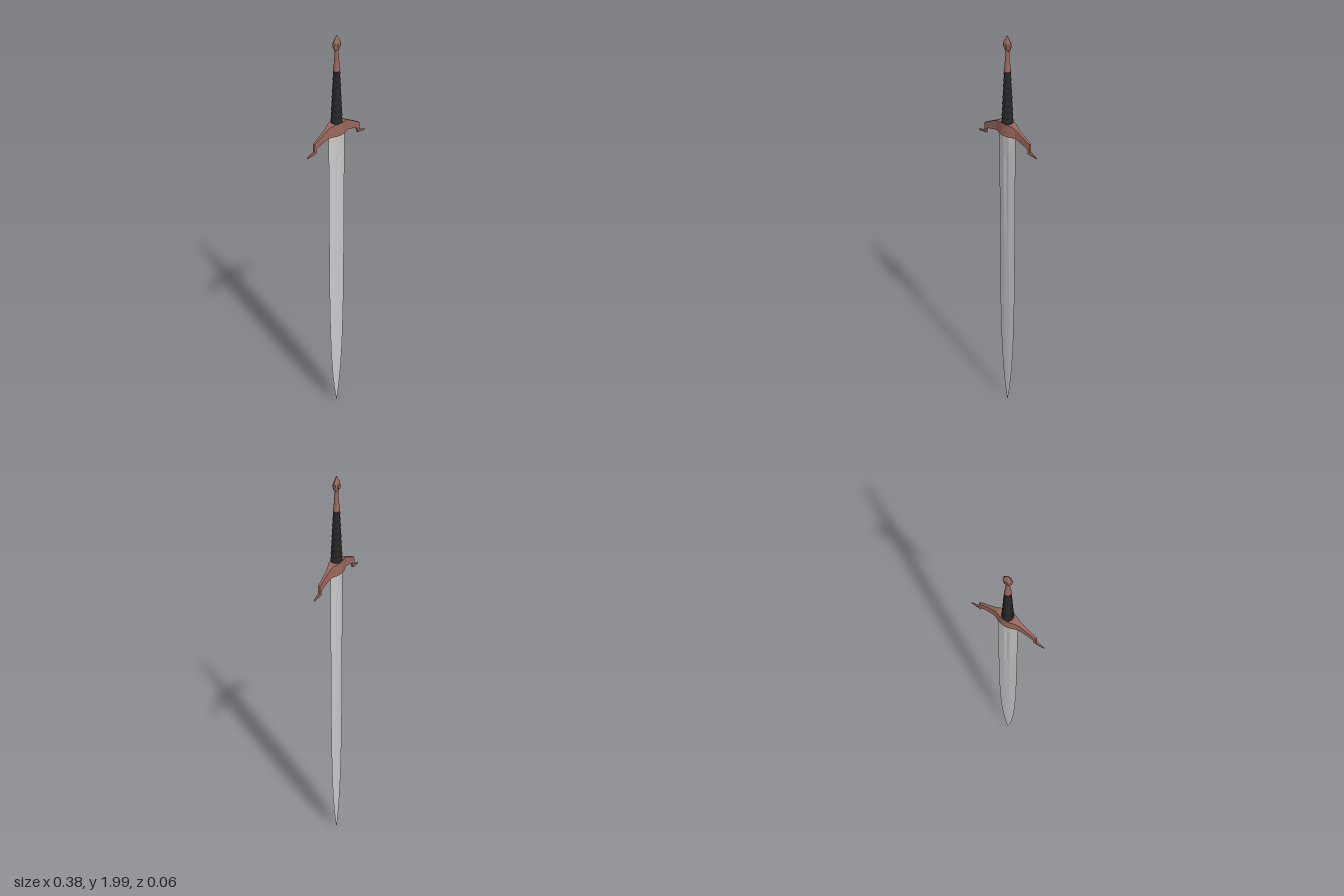
import * as THREE from 'three';

const steel = new THREE.MeshStandardMaterial({ color: 0xcccccc, flatShading: true });
const copper = new THREE.MeshStandardMaterial({ color: 0x9a675c, flatShading: true });
const copperSmooth = new THREE.MeshStandardMaterial({ color: 0x9a675c });
const leather = new THREE.MeshStandardMaterial({ color: 0x262626 });

// Skin a list of equal-length rings (counter-clockwise seen from the far end), with end caps
function loft(rings) {
  const n = rings[0].length, index = [];
  for (let r = 0; r < rings.length - 1; r++) {
    for (let i = 0; i < n; i++) {
      const a = r * n + i, b = r * n + (i + 1) % n;
      index.push(a, b, b + n, a, b + n, a + n);
    }
  }
  const last = (rings.length - 1) * n;
  for (let i = 1; i < n - 1; i++) {
    index.push(0, i + 1, i, last, last + i, last + i + 1);
  }
  const geometry = new THREE.BufferGeometry();
  geometry.setAttribute('position', new THREE.Float32BufferAttribute(rings.flat(2), 3));
  geometry.setIndex(index);
  geometry.computeVertexNormals();
  return geometry;
}

function lathe(points, segments) {
  return new THREE.LatheGeometry(points.map(([r, y]) => new THREE.Vector2(r, y)), segments);
}

export function createModel() {
  const model = new THREE.Group();
  const add = (name, geometry, material, parent = model) => {
    const mesh = new THREE.Mesh(geometry, material);
    mesh.name = name;
    parent.add(mesh);
    return mesh;
  };

  // Blade: height, half width, half thickness, thickness in the fuller
  const bladeSections = [
    [0.01, 0.0005, 0.0005, 0.0005], [0.05, 0.009, 0.001, 0.001], [0.1, 0.017, 0.0015, 0.0015],
    [0.2, 0.029, 0.002, 0.002], [0.3, 0.037, 0.0025, 0.0025], [0.42, 0.043, 0.003, 0.003],
    [0.6, 0.048, 0.004, 0.004], [0.8, 0.05, 0.005, 0.005], [1.04, 0.051, 0.0065, 0.006],
    [1.08, 0.051, 0.0065, 0.0045], [1.4, 0.052, 0.008, 0.005], [1.44, 0.052, 0.0085, 0.008],
    [1.56, 0.053, 0.01, 0.009],
  ];
  add('blade', loft(bladeSections.map(([y, w, t, f]) => [
    [w, y, 0], [0.3 * w, y, -t], [0, y, -f], [-0.3 * w, y, -t],
    [-w, y, 0], [-0.3 * w, y, t], [0, y, f], [0.3 * w, y, t],
  ])), steel);

  // Crossguard: x, top, bottom, half depth of one arm, mirrored to the other side
  const arm = [
    [0, 1.588, 1.532, 0.029], [0.018, 1.588, 1.532, 0.027], [0.034, 1.587, 1.532, 0.022],
    [0.048, 1.585, 1.533, 0.016], [0.062, 1.578, 1.531, 0.0115], [0.08, 1.568, 1.526, 0.009],
    [0.11, 1.553, 1.518, 0.0075], [0.134, 1.54, 1.508, 0.006], [0.136, 1.539, 1.486, 0.006],
    [0.146, 1.534, 1.484, 0.0055], [0.148, 1.495, 1.483, 0.0053], [0.188, 1.483, 1.478, 0.002],
  ];
  const mirrored = arm.slice(1).reverse().map(([x, ...rest]) => [-x, ...rest]);
  add('crossguard', loft([...mirrored, ...arm].map(([x, top, bottom, d]) => [
    [x, top, -0.88 * d], [x, top, 0.88 * d], [x, bottom, d], [x, bottom, -d],
  ])), copper);

  // Grip: tapered core with rounded windings
  const grip = [[0, 1.58]];
  const ribs = 9, steps = 6;
  for (let i = 0; i <= ribs * steps; i++) {
    const t = i / (ribs * steps);
    const bulge = 0.003 * Math.abs(Math.sin(t * ribs * Math.PI));
    grip.push([THREE.MathUtils.lerp(0.0245, 0.0125, t) + bulge, 1.583 + 0.255 * t]);
  }
  grip.push([0, 1.838]);
  add('grip', lathe(grip, 24), leather);

  // Collar and neck above the grip
  add('neck', lathe([
    [0, 1.83], [0.015, 1.832], [0.016, 1.84], [0.013, 1.855], [0.011, 1.88],
    [0.009, 1.905], [0.0085, 1.925], [0.011, 1.935], [0, 1.937],
  ], 16), copperSmooth);

  // Flattened pointed pommel with a round boss on each face
  const pommel = new THREE.Group();
  pommel.name = 'pommel';
  model.add(pommel);
  add('pommelBody', lathe([
    [0, 1.925], [0.01, 1.928], [0.018, 1.938], [0.0225, 1.953], [0.021, 1.966],
    [0.013, 1.98], [0.006, 1.991], [0, 2],
  ], 12), copper, pommel).scale.z = 0.62;
  const boss = new THREE.CylinderGeometry(0.009, 0.011, 0.03, 16);
  boss.rotateX(Math.PI / 2);
  add('pommelBoss', boss, copper, pommel).position.y = 1.953;

  return model;
}
